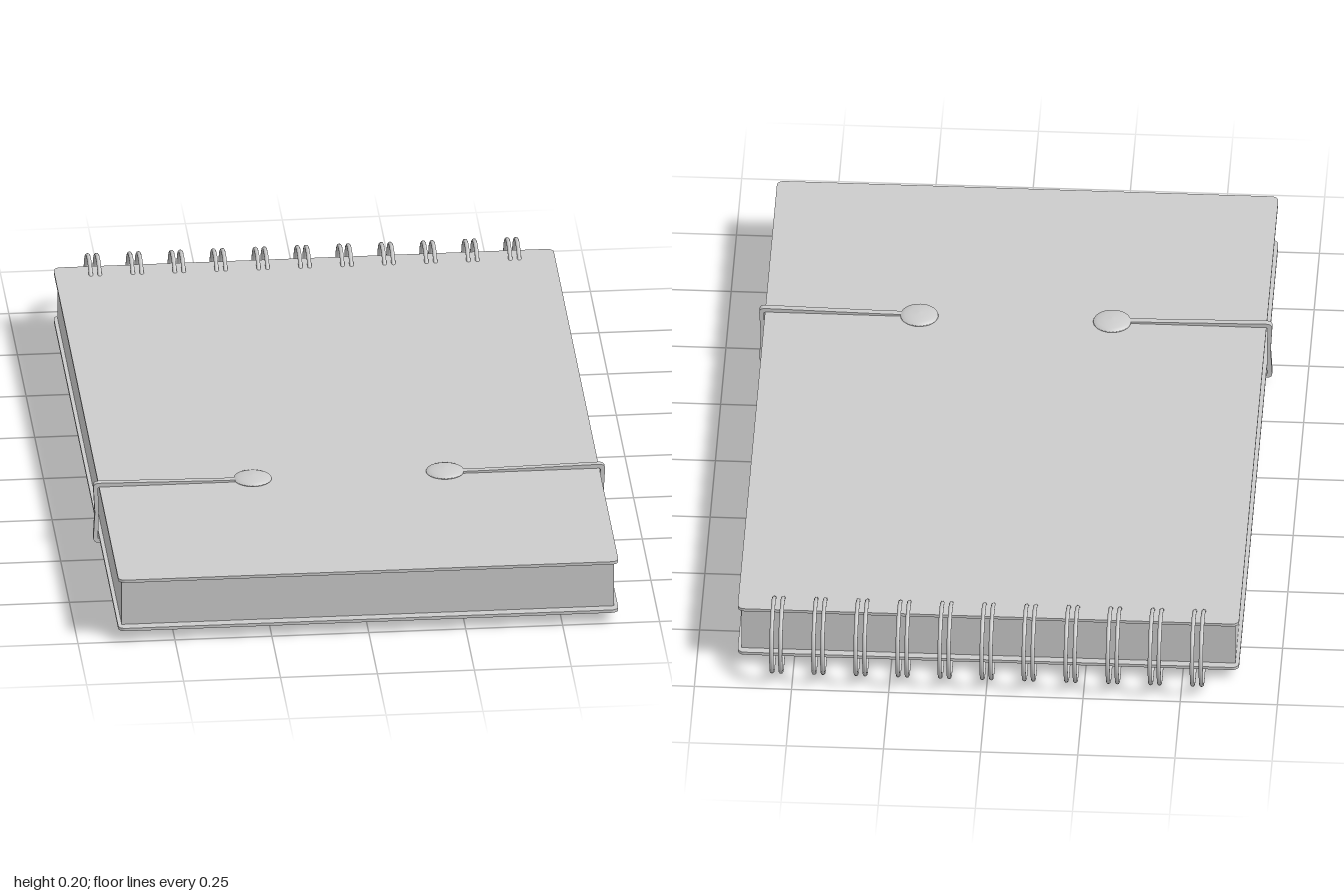
import * as THREE from 'three';

const material = new THREE.MeshStandardMaterial({ color: 0xcccccc });

function add(parent, name, geometry, x = 0, y = 0, z = 0) {
  const mesh = new THREE.Mesh(geometry, material);
  mesh.name = name;
  mesh.position.set(x, y, z);
  parent.add(mesh);
  return mesh;
}

// Thin board with rounded corners, lying flat from y = 0 to y = thickness
function boardGeometry(width, length, thickness, r) {
  const w = width / 2, l = length / 2;
  const s = new THREE.Shape();
  s.absarc(w - r, l - r, r, 0, Math.PI / 2);
  s.absarc(-w + r, l - r, r, Math.PI / 2, Math.PI);
  s.absarc(-w + r, -l + r, r, Math.PI, Math.PI * 1.5);
  s.absarc(w - r, -l + r, r, Math.PI * 1.5, Math.PI * 2);
  return new THREE.ExtrudeGeometry(s, { depth: thickness, bevelEnabled: false, curveSegments: 6 })
    .rotateX(-Math.PI / 2);
}

// Strap outline in the xy plane: under the book, up both sides, in to the buttons
function strapGeometry(width) {
  const s = new THREE.Shape();
  s.moveTo(-0.25, 0.185);
  s.lineTo(-0.36, 0.186);
  s.lineTo(-0.645, 0.191);
  s.quadraticCurveTo(-0.66, 0.191, -0.66, 0.178);
  s.lineTo(-0.656, 0.107);
  s.lineTo(-0.66, 0.036);
  s.quadraticCurveTo(-0.66, 0.023, -0.647, 0.023);
  s.lineTo(0.647, 0.023);
  s.quadraticCurveTo(0.66, 0.023, 0.66, 0.036);
  s.lineTo(0.656, 0.107);
  s.lineTo(0.66, 0.178);
  s.quadraticCurveTo(0.66, 0.191, 0.645, 0.191);
  s.lineTo(0.36, 0.186);
  s.lineTo(0.25, 0.185);
  s.lineTo(0.25, 0.178);
  s.lineTo(0.648, 0.178);
  s.lineTo(0.646, 0.107);
  s.lineTo(0.648, 0.035);
  s.lineTo(-0.648, 0.035);
  s.lineTo(-0.646, 0.107);
  s.lineTo(-0.648, 0.178);
  s.lineTo(-0.25, 0.178);
  s.closePath();
  return new THREE.ExtrudeGeometry(s, { depth: width, bevelEnabled: false, curveSegments: 5 })
    .translate(0, 0, -width / 2);
}

export function createModel() {
  const group = new THREE.Group();
  group.name = 'spiralNotebook';

  // Covers and page block
  const cover = boardGeometry(1.29, 1.895, 0.008, 0.018);
  add(group, 'bottomCover', cover, 0, 0.035, 0.0525);
  add(group, 'topCover', cover, 0, 0.172, 0.0525);
  add(group, 'pages', new THREE.BoxGeometry(1.27, 0.13, 1.85), 0, 0.1075, 0.05);

  // Eleven pairs of binding rings along the back edge
  const binding = new THREE.Group();
  binding.name = 'binding';
  group.add(binding);
  const ring = new THREE.TorusGeometry(0.0945, 0.0055, 10, 48).rotateY(Math.PI / 2);
  for (let i = -5; i <= 5; i++) {
    for (const side of [-1, 1]) {
      add(binding, 'bindingRing', ring, i * 0.1082 + side * 0.0115, 0.105, -0.9);
    }
  }

  // Elastic strap held by two domed buttons
  add(group, 'strap', strapGeometry(0.016), 0, 0, 0.427);
  const profile = [[0.0001, 0.18], [0.046, 0.18], [0.049, 0.182], [0.048, 0.185],
    [0.038, 0.189], [0.022, 0.1925], [0.0001, 0.194]].map(([r, y]) => new THREE.Vector2(r, y));
  const button = new THREE.LatheGeometry(profile, 32);
  add(group, 'rightButton', button, -0.248, 0, 0.422);
  add(group, 'leftButton', button, 0.248, 0, 0.422);

  return group;
}
